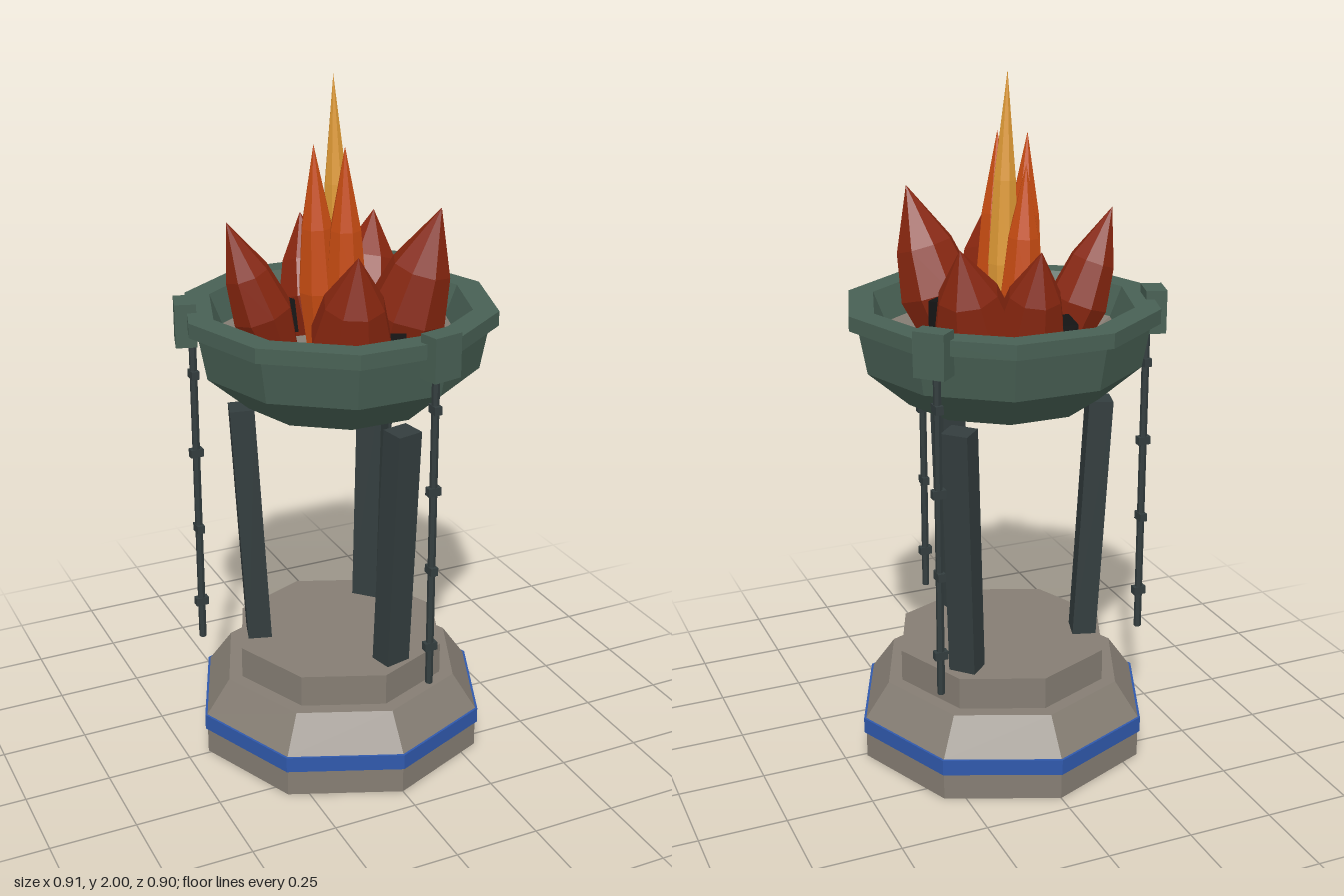
import * as THREE from 'three';

const colours = {
  stone: 0x857d73, band: 0x3059ac, bronze: 0x486054, iron: 0x333d3e,
  outerFire: 0x87260f, innerFire: 0xc84c12, fireCore: 0xdf9a35, charcoal: 0x141414,
};

export function createModel() {
  const model = new THREE.Group();
  model.name = 'brazier';
  const mats = {};
  for (const [name, color] of Object.entries(colours)) {
    mats[name] = new THREE.MeshStandardMaterial({ color });
    mats[name].name = name;
  }

  // Faceted mesh: every face gets its own normal
  const add = (parent, name, geometry, mat, x = 0, y = 0, z = 0) => {
    const faceted = geometry.index ? geometry.toNonIndexed() : geometry;
    faceted.computeVertexNormals();
    const mesh = new THREE.Mesh(faceted, mats[mat]);
    mesh.name = name;
    mesh.position.set(x, y, z);
    parent.add(mesh);
    return mesh;
  };
  const lathe = (points, sides, start = 0) =>
    new THREE.LatheGeometry(points.map(([r, y]) => new THREE.Vector2(r, y)), sides, start);

  // Everything but the fire shares one slightly offset axis
  const stand = new THREE.Group();
  stand.name = 'stand';
  stand.position.z = -0.01;
  model.add(stand);

  // Octagonal stepped base: [name, bottom, top, bottom radius, top radius, colour]
  const tiers = [
    ['baseFoot', 0, 0.08, 0.435, 0.435, 'stone'],
    ['baseBand', 0.08, 0.127, 0.442, 0.442, 'band'],
    ['baseSlope', 0.127, 0.23, 0.435, 0.362, 'stone'],
    ['basePlinth', 0.23, 0.325, 0.32, 0.32, 'stone'],
  ];
  for (const [name, y0, y1, r0, r1, mat] of tiers) {
    add(stand, name, new THREE.CylinderGeometry(r1, r0, y1 - y0, 8), mat, 0, (y0 + y1) / 2, 0);
  }

  // Ten-sided bowl with a thick rim and a stone lining
  add(stand, 'bowl', lathe([
    [0, 1.04], [0.1, 1.04], [0.28, 1.085], [0.4, 1.19], [0.424, 1.318],
    [0.45, 1.318], [0.45, 1.36], [0.377, 1.36], [0.335, 1.26],
  ], 10, Math.PI / 2), 'bronze');
  add(stand, 'bowlLining', lathe([[0.342, 1.275], [0.29, 1.235], [0, 1.2]], 10, Math.PI / 2), 'stone');

  // Three leaning legs, each with a rim bracket and a hanging chain
  for (let i = 0; i < 3; i++) {
    const angle = THREE.MathUtils.degToRad(77 + 120 * i);
    const side = new THREE.Group();
    side.name = 'support' + (i + 1);
    side.rotation.y = -angle;
    stand.add(side);

    const leg = add(side, 'leg', new THREE.BoxGeometry(0.07, 0.745, 0.08), 'iron', 0.264, 0.688, 0);
    leg.rotation.z = -0.052;
    add(side, 'rimBracket', new THREE.BoxGeometry(0.06, 0.125, 0.09), 'bronze', 0.433, 1.322, 0);

    const chain = new THREE.Group();
    chain.name = 'chain';
    chain.position.x = 0.415;
    chain.rotation.y = angle;
    side.add(chain);
    add(chain, 'chainRod', new THREE.CylinderGeometry(0.011, 0.011, 0.96, 6), 'iron', 0, 0.805, 0);
    for (let k = 0; k < 4; k++) {
      const link = add(chain, 'chainLink', new THREE.BoxGeometry(0.038, 0.024, 0.022), 'iron', 0, 0.445 + 0.24 * k, 0);
      link.rotation.y = (k % 2) * Math.PI / 2;
    }
  }

  // Charcoal lumps: [x, y, z, width, height, depth, turn]
  const coals = [
    [-0.08, 1.29, -0.2, 0.1, 0.1, 0.11, -0.2],
    [0.13, 1.32, 0.02, 0.12, 0.1, 0.1, 0.7],
    [0.05, 1.28, 0.23, 0.07, 0.1, 0.13, -0.5],
    [0.03, 1.28, -0.04, 0.1, 0.12, 0.12, 0.4],
    [0, 1.28, 0.11, 0.09, 0.1, 0.09, 0.2],
  ];
  for (const [x, y, z, w, h, d, turn] of coals) {
    add(model, 'coal', new THREE.BoxGeometry(w, h, d), 'charcoal', x, y, z).rotation.y = turn;
  }

  // Flames: bulging spikes leaning from a foot to a tip
  const up = new THREE.Vector3(0, 1, 0);
  const flame = (name, mat, radius, foot, tip) => {
    const axis = new THREE.Vector3(...tip).sub(new THREE.Vector3(...foot));
    const h = axis.length();
    const shape = [[0, 0], [0.7, 0], [1, 0.32], [0.74, 0.62], [0, 1]];
    const mesh = add(model, name, lathe(shape.map(([r, t]) => [r * radius, t * h]), 8), mat, ...foot);
    mesh.quaternion.setFromUnitVectors(up, axis.normalize());
  };
  flame('outerFlame', 'outerFire', 0.1, [-0.005, 1.22, -0.16], [0, 1.555, -0.28]);
  flame('outerFlame', 'outerFire', 0.115, [0.105, 1.22, -0.11], [0.2, 1.56, -0.2]);
  flame('outerFlame', 'outerFire', 0.115, [0.097, 1.22, 0.12], [0.2, 1.66, 0.21]);
  flame('outerFlame', 'outerFire', 0.115, [-0.06, 1.22, 0.175], [-0.09, 1.58, 0.3]);
  flame('outerFlame', 'outerFire', 0.088, [-0.17, 1.22, -0.05], [-0.31, 1.61, -0.07]);
  flame('innerFlame', 'innerFire', 0.06, [-0.03, 1.22, -0.06], [-0.045, 1.75, -0.075]);
  flame('innerFlame', 'innerFire', 0.06, [-0.06, 1.22, 0.005], [-0.09, 1.82, 0.02]);
  flame('innerFlame', 'innerFire', 0.06, [-0.005, 1.22, 0.05], [-0.025, 1.82, 0.08]);
  flame('coreFlame', 'fireCore', 0.044, [0.005, 1.22, -0.015], [-0.015, 1.995, -0.015]);

  return model;
}
